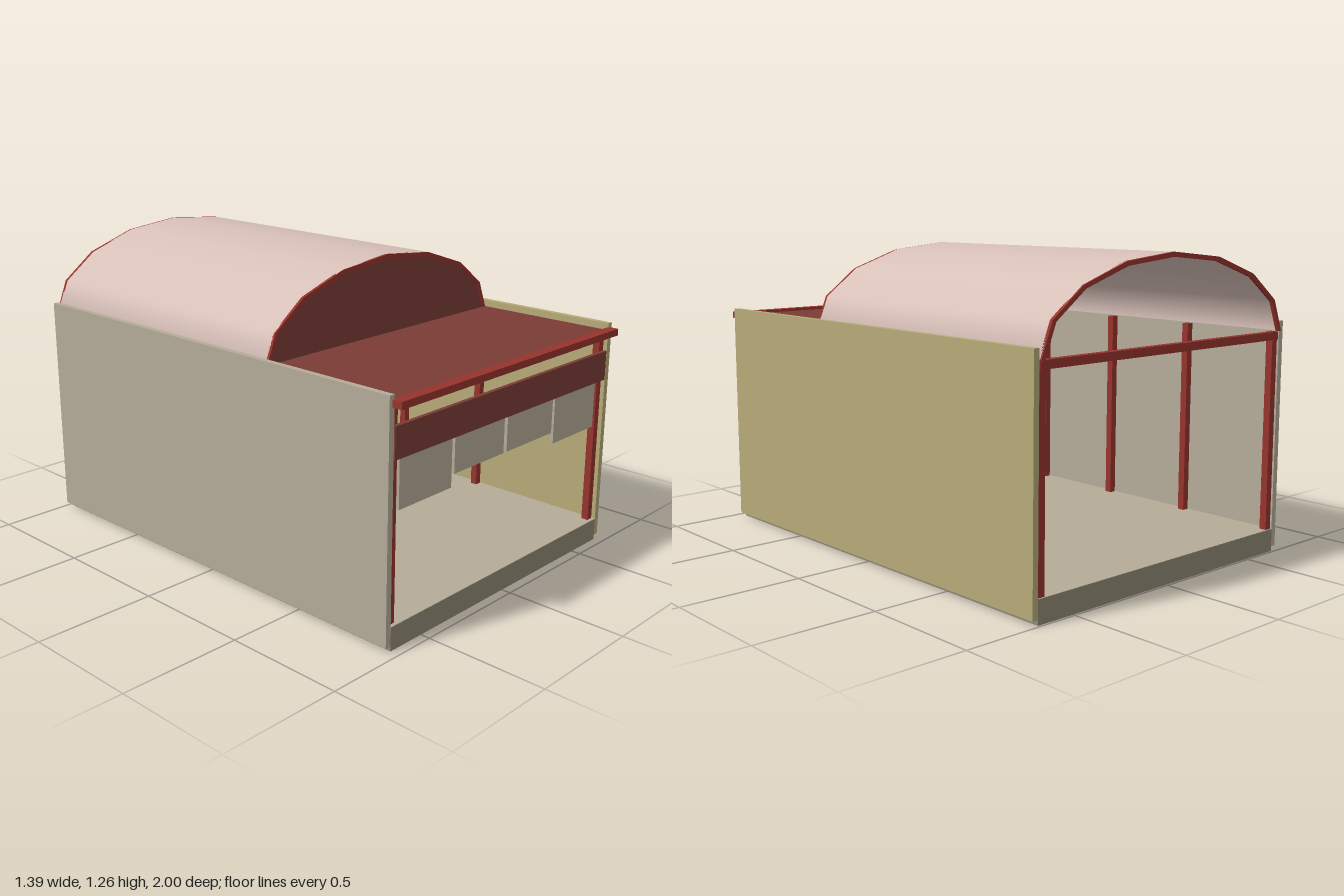
import * as THREE from 'three';

const mat = (name, color, extra = {}) => new THREE.MeshStandardMaterial({ name, color, ...extra });

export function createModel() {
  const model = new THREE.Group();
  model.name = 'pavilion';

  const red = mat('frame red', 0x96332d);
  const darkRed = mat('dark red panel', 0x7b3c35);
  const yellow = mat('yellow wall', 0xb7aa78);
  const beige = mat('beige', 0xb4ab98);
  const grey = mat('base grey', 0x8f8975);
  const mustard = mat('mustard', 0xbd9638);
  const pink = mat('pale pink roof', 0xd8c1b9, { side: THREE.DoubleSide });

  const add = (name, geometry, material) => {
    const mesh = new THREE.Mesh(geometry, material);
    mesh.name = name;
    model.add(mesh);
    return mesh;
  };
  // Box given by its minimum and maximum on each axis
  const box = (name, material, x0, x1, y0, y1, z0, z1) =>
    add(name, new THREE.BoxGeometry(x1 - x0, y1 - y0, z1 - z0)
      .translate((x0 + x1) / 2, (y0 + y1) / 2, (z0 + z1) / 2), material);

  const FRONT = 0.96, BACK = -0.99, HALF = 0.67, SPLIT = 0.335;
  const FLOOR = 0.095, EAVES = 0.921, RISE = 0.336;

  // Floor plate on a hollow skirt, open underneath
  box('floor', beige, -HALF, HALF, FLOOR - 0.006, FLOOR, BACK, FRONT);
  box('skirtFront', grey, -HALF, HALF, 0, FLOOR - 0.001, FRONT - 0.006, FRONT + 0.001);
  box('skirtBack', grey, -HALF, HALF, 0, FLOOR - 0.001, BACK - 0.001, BACK + 0.006);
  for (const s of [-1, 1]) {
    const x = s * (HALF - 0.003);
    box('skirtSide', grey, x - 0.003, x + 0.003, 0, FLOOR - 0.001, BACK, FRONT);
  }

  // Side walls
  box('leftWall', yellow, HALF, 0.695, 0.02, 0.96, BACK, FRONT);
  box('rightWall', beige, -0.695, -HALF, 0.02, 0.96, BACK, FRONT);

  // Posts along both walls
  for (const s of [-1, 1]) {
    for (const z of [-0.97, -0.535, -0.1, 0.335, 0.93]) {
      const x = s * 0.65;
      box('post', red, x - 0.015, x + 0.015, FLOOR, 0.918, z - 0.015, z + 0.015);
    }
  }

  // Cross members
  box('backCrossbar', red, -0.665, 0.665, 0.885, 0.917, -0.99, -0.96);
  box('middleHeader', mustard, -0.635, 0.635, 0.885, 0.917, 0.32, 0.35);
  box('frontBeam', darkRed, -0.665, 0.665, 0.722, 0.845, 0.945, 0.962);

  // Flat front roof with its edge band
  box('frontRoof', darkRed, -HALF, HALF, 0.918, 0.932, SPLIT, FRONT);
  box('roofEdgeBand', red, -0.68, 0.68, 0.915, 0.943, 0.955, 1.0);

  // Hanging panels under the front beam
  for (const [x0, x1, y0] of [[0.01, 0.312, 0.572], [0.328, 0.62, 0.523]]) {
    box('hangingPanelLeft', beige, x0, x1, y0, 0.73, 0.932, 0.945);
    box('hangingPanelRight', beige, -x1, -x0, y0, 0.73, 0.932, 0.945);
  }

  // Barrel vault: an open half cylinder squashed to a half ellipse
  const length = SPLIT + 0.993;
  add('barrelRoof', new THREE.CylinderGeometry(1, 1, length, 8, 1, true, -Math.PI / 2, Math.PI)
    .rotateX(-Math.PI / 2)
    .scale(HALF, RISE, 1)
    .translate(0, EAVES, (SPLIT - 0.993) / 2), pink);

  // Arch points matching the vault, shrunk by an inset
  const archPoints = (inset) => Array.from({ length: 9 }, (_, i) => {
    const a = (i / 8) * Math.PI;
    return new THREE.Vector2(Math.cos(a) * (HALF - inset), EAVES + Math.sin(a) * (RISE - inset));
  });
  const extrude = (points, depth, z) =>
    new THREE.ExtrudeGeometry(new THREE.Shape(points), { depth, bevelEnabled: false }).translate(0, 0, z);

  // End panel and rims
  add('archPanel', extrude(archPoints(0.004), 0.008, SPLIT - 0.008), darkRed);
  const rim = [...archPoints(0), ...archPoints(0.018).reverse()];
  add('frontArchRim', extrude(rim, 0.012, SPLIT - 0.008), red);
  add('backArchRim', extrude(rim, 0.014, -1), red);

  return model;
}
